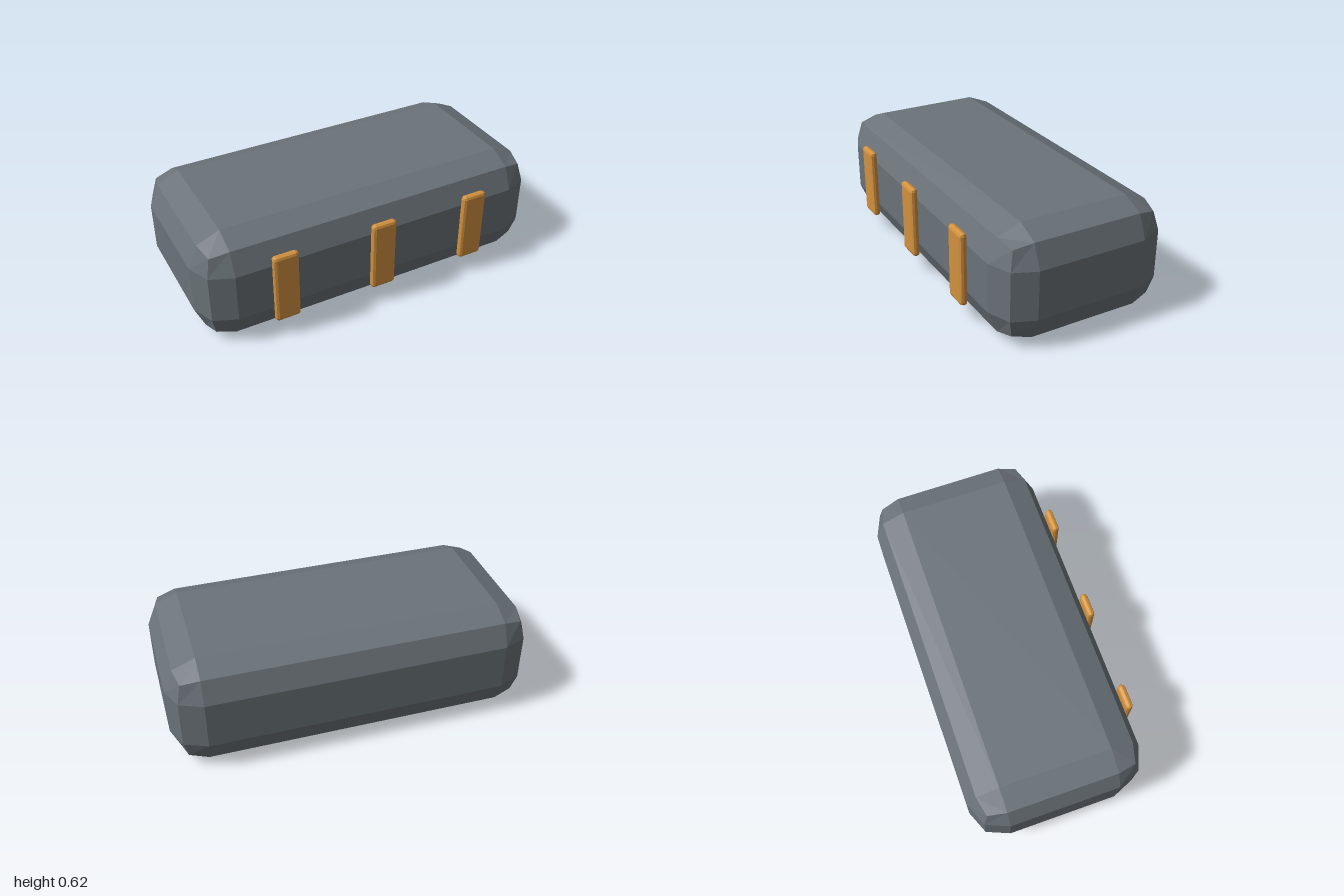
import * as THREE from 'three';
import { RoundedBoxGeometry } from 'three/addons/geometries/RoundedBoxGeometry.js';

function material(name, color) {
  const m = new THREE.MeshStandardMaterial({ color, flatShading: true });
  m.name = name;
  return m;
}

// Low-poly rounded box: each edge is two flat strips
function roundedBlock(name, size, radius, centre, mat) {
  const mesh = new THREE.Mesh(new RoundedBoxGeometry(...size, 1, radius), mat);
  mesh.position.set(...centre);
  mesh.name = name;
  return mesh;
}

export function createModel() {
  const model = new THREE.Group();
  model.name = 'case';
  const slate = material('slate grey', 0x6b7379);
  const amber = material('amber', 0xd3923f);

  // Main body
  model.add(roundedBlock('body', [2, 0.623, 0.96], 0.177, [0, 0.3115, -0.021], slate));

  // Three upright straps along the front
  for (const i of [-1, 0, 1]) {
    model.add(roundedBlock('frontStrap', [0.142, 0.41, 0.041], 0.0178,
      [i * 0.5625 - 0.002, 0.3125, 0.4805], amber));
  }
  return model;
}
